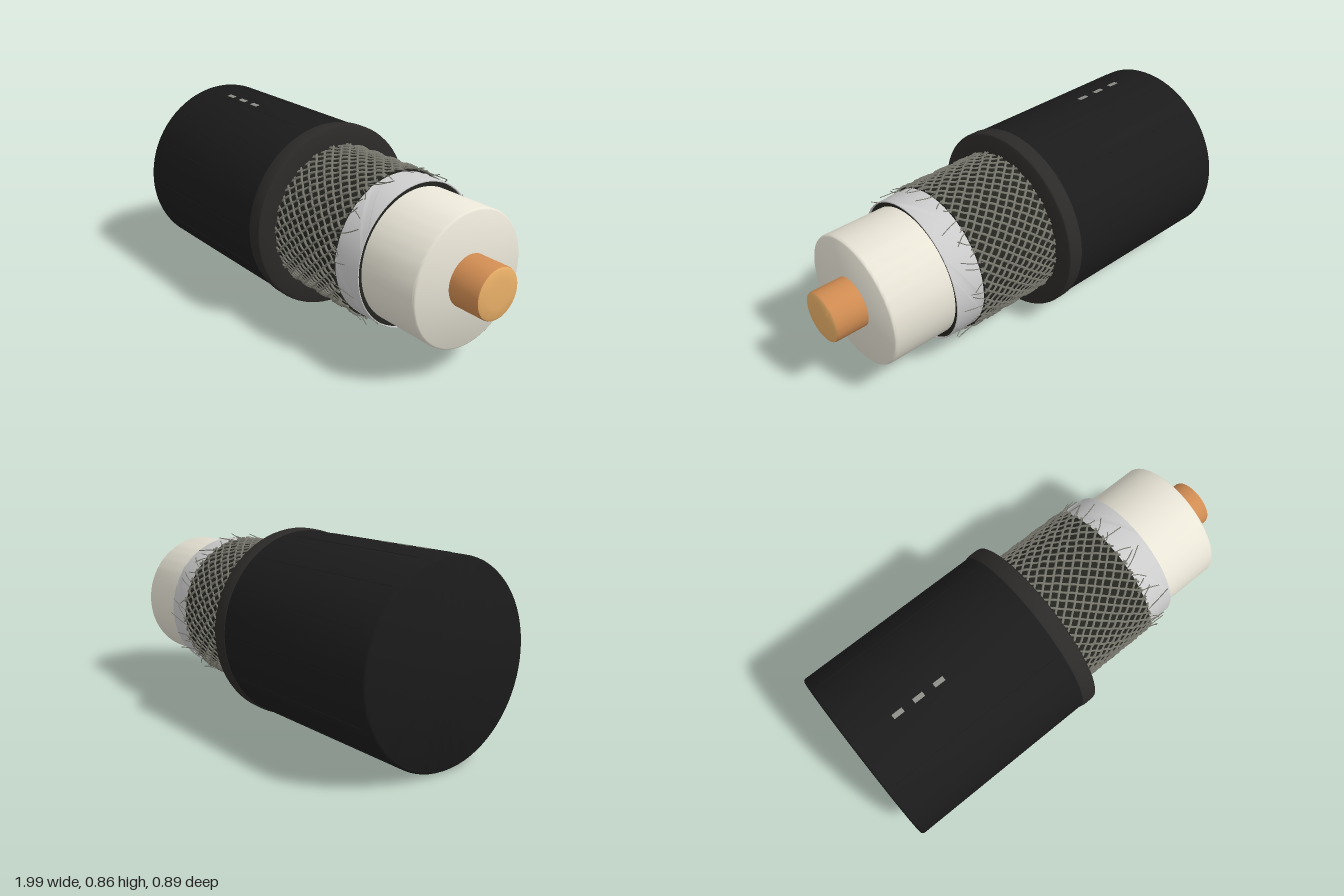
import * as THREE from 'three';
import { toCreasedNormals } from 'three/addons/utils/BufferGeometryUtils.js';

// The cable is built along +x from its own axis, then yawed and lifted.
export function createModel() {
  const model = new THREE.Group();
  model.name = 'strippedCable';
  const mat = (color, side = THREE.FrontSide) =>
    new THREE.MeshStandardMaterial({ color, side });
  const jacketMat = mat(0x1b1b1b);
  const rimMat = mat(0x2c2a28);
  const darkMat = mat(0x24241f, THREE.DoubleSide);
  const wireMat = mat(0x7d7c72);
  const foilMat = mat(0xdcdcd8, THREE.DoubleSide);
  const insulationMat = mat(0xe8e4d6);
  const copperMat = mat(0xd08c52);
  const copperEndMat = mat(0xeab068);

  let seed = 7;
  const rand = () => (seed = (seed * 16807) % 2147483647) / 2147483647;

  function add(name, geometry, material, parent = model) {
    const mesh = new THREE.Mesh(geometry, material);
    mesh.name = name;
    parent.add(mesh);
    return mesh;
  }
  // Turned part from [x, radius] pairs, running towards +x.
  function turned(name, profile, material, segments = 72) {
    const g = new THREE.LatheGeometry(profile.map(([x, r]) => new THREE.Vector2(r, x)), segments);
    g.rotateZ(-Math.PI / 2);
    return add(name, toCreasedNormals(g, 0.6), material);
  }
  const polar = (x, r, a) => new THREE.Vector3(x, r * Math.cos(a), r * Math.sin(a));
  function wire(name, points, radius, steps, parent, material = wireMat) {
    const curve = new THREE.CatmullRomCurve3(points);
    return add(name, new THREE.TubeGeometry(curve, steps, radius, 4), material, parent);
  }
  function group(name) {
    const g = new THREE.Group();
    g.name = name;
    model.add(g);
    return g;
  }

  // Outer jacket with a thicker rolled rim at the cut
  turned('jacket', [[-0.983, 0], [-0.983, 0.415], [-0.98, 0.421], [-0.973, 0.425],
    [-0.05, 0.425], [-0.05, 0.34]], jacketMat);
  turned('jacketRim', [[-0.085, 0.42], [-0.08, 0.427], [-0.065, 0.431], [-0.02, 0.431],
    [-0.009, 0.428], [-0.004, 0.42], [-0.004, 0.335]], rimMat);

  // Fine lengthwise seams on the jacket
  const seams = group('jacketSeams');
  for (let i = 0; i < 14; i++) {
    const a = (i + 0.5) / 14 * Math.PI * 2;
    const len = 0.7 + 0.15 * rand();
    const seam = add('seam', new THREE.BoxGeometry(len, 0.004, 0.004), jacketMat, seams);
    seam.position.copy(polar(-0.53, 0.424, a));
    seam.rotation.x = a;
  }

  // Three plain marker dashes on top
  const dashes = group('markerDashes');
  for (let i = 0; i < 3; i++) {
    const a = 0.147;
    const dash = add('dash', new THREE.BoxGeometry(0.05, 0.004, 0.021), mat(0x8c8c86), dashes);
    dash.position.copy(polar(-0.762 + i * 0.102, 0.425, a));
    dash.rotation.x = a;
  }

  // Braided shield: dark sleeve plus two sets of interwoven helical wires
  turned('braidSleeve', [[-0.03, 0.336], [0.4, 0.336], [0.4, 0.318]], darkMat);
  const braid = group('braid');
  const strands = 44, twist = 1.1, steps = 36;
  for (const dir of [-1, 1]) {
    for (let i = 0; i < strands; i++) {
      const start = i / strands * Math.PI * 2;
      const points = [];
      const end = 0.4 + 0.01 * rand();
      for (let k = 0; k <= steps; k++) {
        const t = k / steps;
        const weave = Math.sin(t * twist * strands + i * Math.PI) * 0.0035;
        points.push(polar(-0.02 + (end + 0.02) * t, 0.339 + dir * weave, start + dir * twist * t));
      }
      wire('strand', points, 0.0055, steps * 2, braid);
    }
  }

  // Loose wire ends fraying from the braid over the foil
  const fray = group('frayedWires');
  for (let i = 0; i < 48; i++) {
    const a = (i + rand()) / 48 * Math.PI * 2;
    const turn = (rand() - 0.5) * 0.35;
    const len = 0.03 + 0.11 * rand() * rand();
    const lift = 0.02 * rand();
    wire('looseWire', [polar(0.38, 0.338, a), polar(0.4 + len * 0.4, 0.338 + lift * 0.3, a + turn * 0.4),
      polar(0.4 + len, 0.338 + lift, a + turn)], 0.0022, 6, fray);
  }

  // Foil screen, open at its end, wrapped by slanted overlapping tape
  turned('foil', [[0.36, 0.327], [0.535, 0.327], [0.54, 0.325], [0.54, 0.321], [0.36, 0.321]], foilMat);
  const tape = group('foilTape');
  for (let i = 0; i < 6; i++) {
    const start = i / 6 * Math.PI * 2;
    const n = 20, pos = [], idx = [];
    const g = new THREE.BufferGeometry();
    for (let k = 0; k <= n; k++) {
      const t = k / n;
      for (const [shift, r] of [[0, 0.3275], [0.28, 0.331]]) {
        pos.push(...polar(0.37 + 0.168 * t, r, start + shift + t * 0.95).toArray());
      }
      if (k < n) {
        const b = k * 2;
        idx.push(b, b + 2, b + 1, b + 1, b + 2, b + 3);
      }
    }
    g.setAttribute('position', new THREE.Float32BufferAttribute(pos, 3));
    g.setIndex(idx);
    g.computeVertexNormals();
    add('tapeWrap', g, foilMat, tape);
  }
  // Shadowed layer between foil and insulation
  turned('innerLayer', [[0.4, 0.321], [0.53, 0.321], [0.53, 0.29]], darkMat);

  // Pale insulation with a softened cut edge
  turned('insulation', [[0.36, 0.299], [0.822, 0.299], [0.829, 0.296], [0.833, 0.29],
    [0.833, 0]], insulationMat);

  // Copper core with a slightly domed end
  turned('core', [[0.8, 0.114], [0.975, 0.114], [0.982, 0.111]], copperMat, 48);
  turned('coreEnd', [[0.982, 0.111], [0.987, 0.1], [0.99, 0.06], [0.991, 0]], copperEndMat, 48);

  model.rotation.y = -0.041;
  model.position.set(0, 0.434, 0.015);
  const root = new THREE.Group();
  root.name = 'cable';
  root.add(model);
  return root;
}
